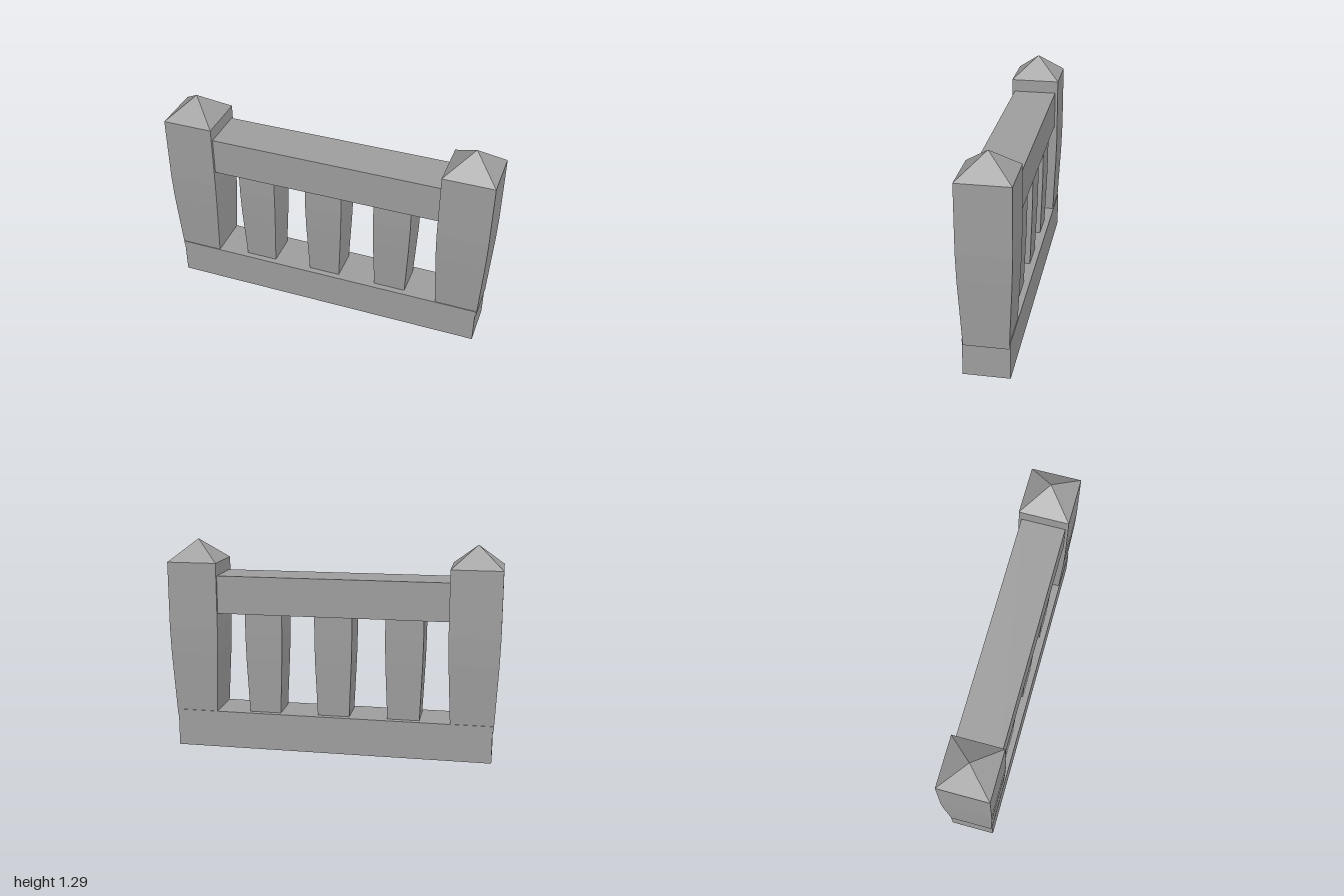
import * as THREE from 'three';

const material = new THREE.MeshStandardMaterial({ color: 0x9e9e9e, flatShading: true });

// Square column from [half width, height] pairs, listed bottom to top
function squareColumn(name, profile, x) {
  const points = profile.map(([half, y]) => new THREE.Vector2(half * Math.SQRT2, y));
  const mesh = new THREE.Mesh(new THREE.LatheGeometry(points, 4, Math.PI / 4), material);
  mesh.name = name;
  mesh.position.x = x;
  return mesh;
}

// Horizontal beam between two heights
function beam(name, length, bottom, top, depth) {
  const mesh = new THREE.Mesh(new THREE.BoxGeometry(length, top - bottom, depth), material);
  mesh.name = name;
  mesh.position.y = (bottom + top) / 2;
  return mesh;
}

export function createModel() {
  const group = new THREE.Group();
  group.name = 'balustrade';

  // Base plinth and top rail, the rail ends set into the posts
  group.add(beam('base', 1.942, 0, 0.23, 0.268));
  group.add(beam('topRail', 1.5, 0.85, 1.08, 0.268));

  // Corner posts: tapered foot, straight shaft, pyramid cap
  const post = [
    [0, 0.193], [0.128, 0.193], [0.147, 0.6], [0.151, 0.76], [0.151, 1.158], [0, 1.287],
  ];
  group.add(squareColumn('leftPost', post, 0.849));
  group.add(squareColumn('rightPost', post, -0.849));

  // Balusters: slimmer tapered columns sunk into base and rail
  const baluster = [
    [0, 0.2], [0.096, 0.2], [0.111, 0.57], [0.114, 0.72], [0.114, 0.9], [0, 0.9],
  ];
  [-0.437, -0.009, 0.419].forEach((x, i) => {
    group.add(squareColumn(`baluster${i + 1}`, baluster, x));
  });

  return group;
}
